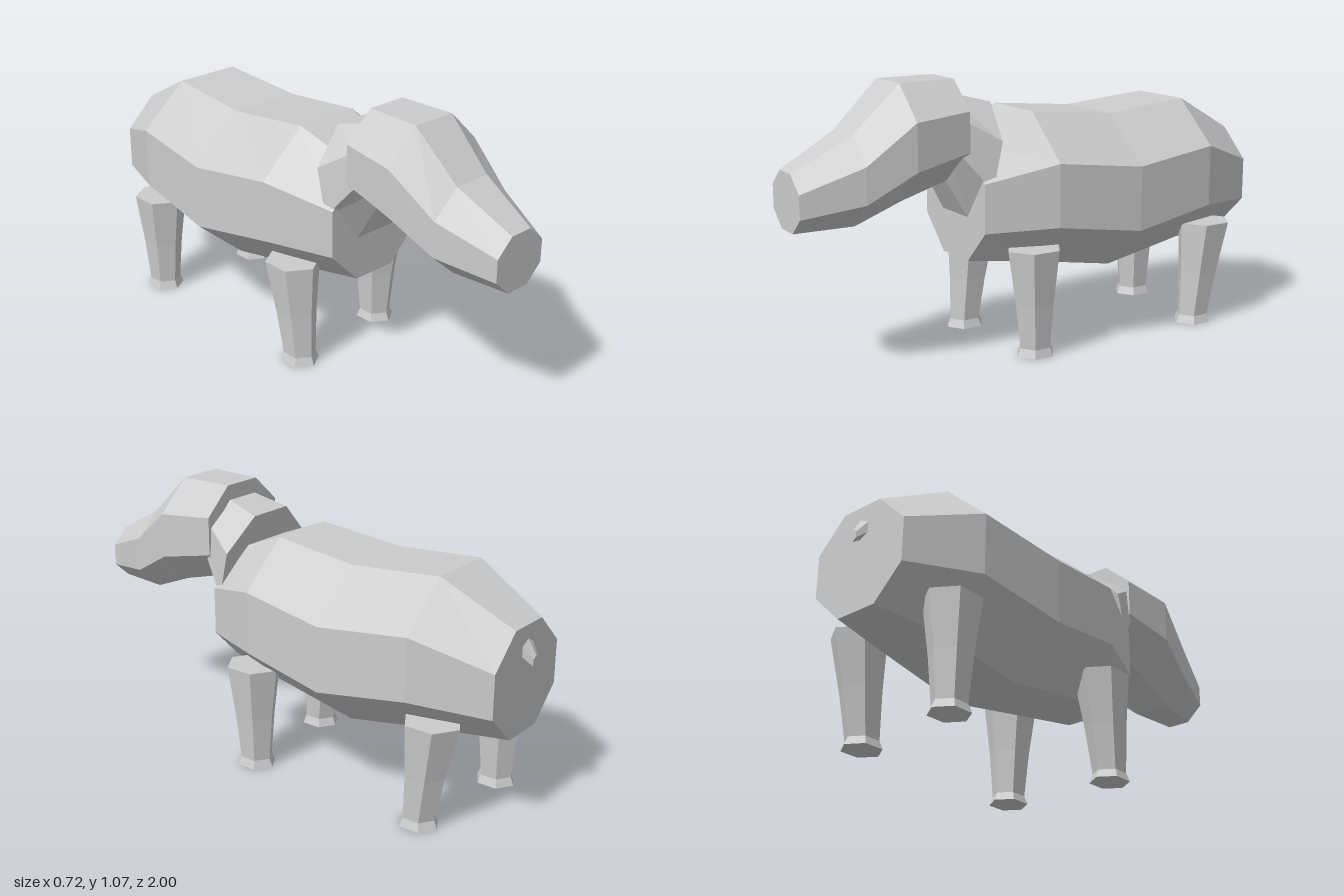
import * as THREE from 'three';

const hide = new THREE.MeshStandardMaterial({ color: 0xcccccc });
hide.name = 'grey hide';
hide.flatShading = true;

const vec = (x, y, z) => new THREE.Vector3(x, y, z);

// Regular polygon ring around a centre; u x v points along the loft
function ring(sides, phase, centre, u, v) {
  return Array.from({ length: sides }, (_, k) => {
    const a = phase + (k * 2 * Math.PI) / sides;
    return centre.clone().addScaledVector(u, Math.cos(a)).addScaledVector(v, Math.sin(a));
  });
}

// Octagon with flat top and sides, sized by half width and half height
function octagon(z, cy, hx, hy, lean = 0) {
  const s = 1 / Math.cos(Math.PI / 8);
  return ring(8, Math.PI / 8, vec(0, cy, z), vec(hx * s, 0, 0), vec(0, hy * s, lean * s));
}

// Closed faceted skin through a list of rings
function loft(name, rings) {
  const pos = [];
  const tri = (...pts) => pts.forEach((p) => pos.push(p.x, p.y, p.z));
  const n = rings[0].length;
  for (let r = 0; r < rings.length - 1; r++) {
    for (let k = 0; k < n; k++) {
      const j = (k + 1) % n;
      const a = rings[r][k], b = rings[r][j], c = rings[r + 1][j], d = rings[r + 1][k];
      tri(a, b, c);
      tri(a, c, d);
    }
  }
  const first = rings[0], last = rings[rings.length - 1];
  for (let k = 1; k < n - 1; k++) {
    tri(first[0], first[k + 1], first[k]);
    tri(last[0], last[k], last[k + 1]);
  }
  const geo = new THREE.BufferGeometry();
  geo.setAttribute('position', new THREE.Float32BufferAttribute(pos, 3));
  geo.computeVertexNormals();
  const mesh = new THREE.Mesh(geo, hide);
  mesh.name = name;
  return mesh;
}

// Six-sided leg with a flared foot; the foot may be set forward or back
function leg(name, x, topZ, footZ) {
  const levels = [
    // height, radius, share of the way from foot to top
    [0, 0.077, 0],
    [0.033, 0.064, 0],
    [0.21, 0.08, 0.45],
    [0.424, 0.108, 1],
  ];
  return loft(name, levels.map(([y, r, t]) =>
    ring(6, 0, vec(x, y, THREE.MathUtils.lerp(footZ, topZ, t)), vec(0, 0, r * 1.06), vec(r * 0.97, 0, 0))));
}

export function createModel() {
  const model = new THREE.Group();
  model.name = 'animal';

  // Barrel body, rump to chest
  model.add(loft('body', [
    octagon(-0.965, 0.571, 0.215, 0.206),
    octagon(-0.68, 0.635, 0.33, 0.292),
    octagon(-0.31, 0.588, 0.36, 0.308),
    octagon(0.05, 0.636, 0.33, 0.295),
    octagon(0.315, 0.597, 0.225, 0.227),
  ]));

  // Leaning neck, tapering into the head
  model.add(loft('neck', [
    octagon(0.26, 0.755, 0.23, 0.22, -0.05),
    octagon(0.43, 0.91, 0.165, 0.11, -0.03),
  ]));

  // Head with drooping muzzle
  model.add(loft('head', [
    octagon(0.36, 0.887, 0.2, 0.184),
    octagon(0.59, 0.855, 0.226, 0.215),
    octagon(0.775, 0.73, 0.19, 0.165),
    octagon(1.0, 0.668, 0.12, 0.108),
  ]));

  // Stub tail
  model.add(loft('tail', [
    ring(6, Math.PI / 6, vec(0, 0.645, -1.0), vec(0.02, 0, 0), vec(0, 0.025, 0)),
    ring(6, Math.PI / 6, vec(0, 0.69, -0.96), vec(0.045, 0, 0), vec(0, 0.042, 0)),
  ]));

  // Legs, in a slight diagonal stride
  for (const [side, s] of [['Left', 1], ['Right', -1]]) {
    model.add(leg(`front${side}Leg`, s * 0.234, 0.105, 0.12 - s * 0.022));
    model.add(leg(`hind${side}Leg`, s * 0.234, -0.735, -0.712 + s * 0.022));
  }

  return model;
}
